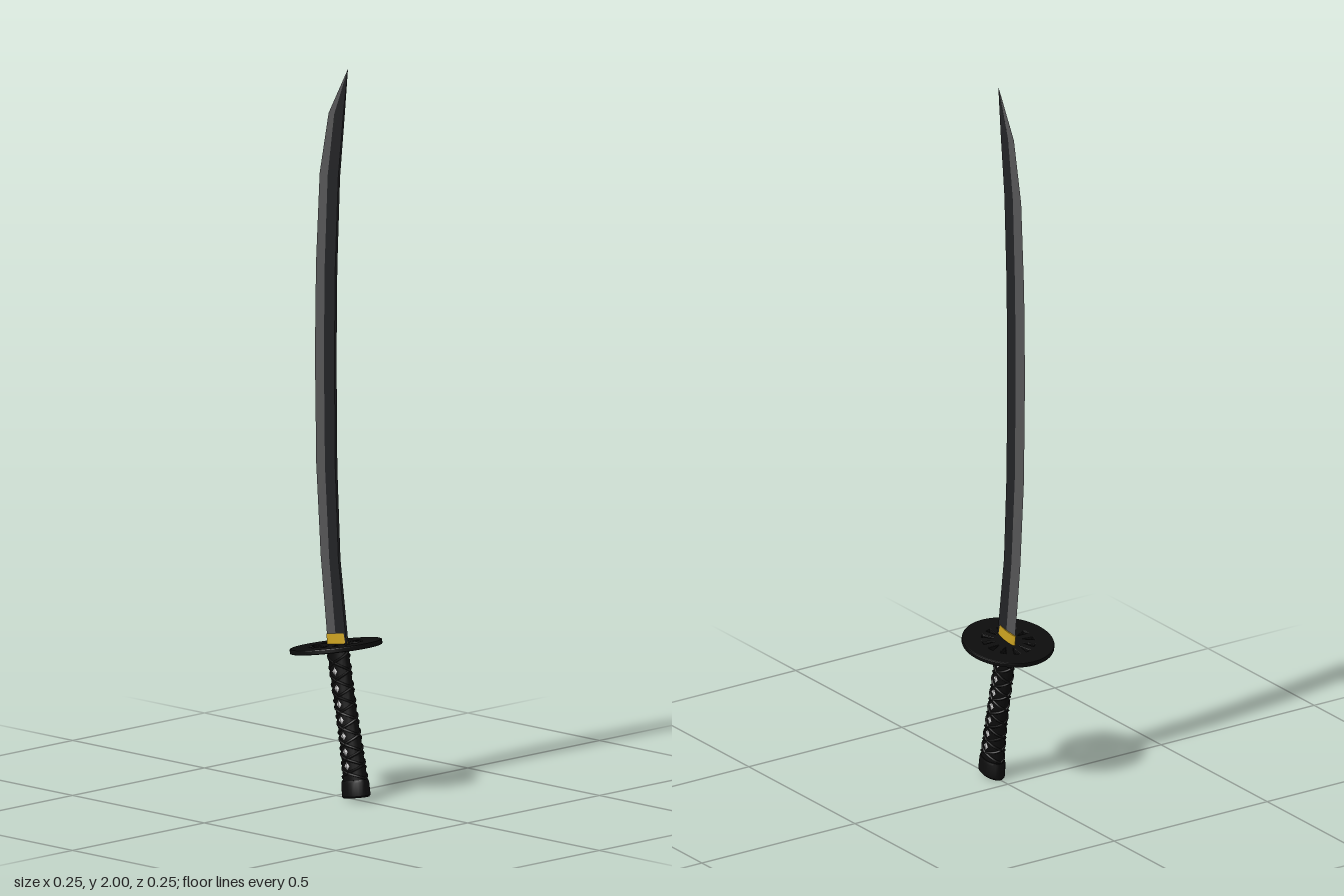
import * as THREE from 'three';
import { toCreasedNormals } from 'three/addons/utils/BufferGeometryUtils.js';

const TILT = 0.165; // lean of guard, collar and handle about z
const material = (color) => new THREE.MeshStandardMaterial({ color, roughness: 0.7 });
const black = material(0x0c0c0c);
const darkSteel = material(0x222325);
const edgeSteel = material(0x555556);
const gold = material(0xc9a020);
const grey = material(0xcccccc);

function add(parent, name, geometry, mat) {
  const mesh = new THREE.Mesh(geometry, mat);
  mesh.name = name;
  parent.add(mesh);
  return mesh;
}

// Skin a stack of rings (counter-clockwise from above, lowest first) and cap the ends
function loft(rings, crease = 0.6) {
  const n = rings[0].length;
  const index = [];
  for (let r = 0; r < rings.length - 1; r++) {
    for (let i = 0; i < n; i++) {
      const a = r * n + i, b = r * n + (i + 1) % n;
      index.push(a, b, b + n, a, b + n, a + n);
    }
  }
  const top = (rings.length - 1) * n;
  for (let i = 1; i < n - 1; i++) {
    index.push(0, i + 1, i, top, top + i, top + i + 1);
  }
  const geometry = new THREE.BufferGeometry();
  geometry.setAttribute('position', new THREE.Float32BufferAttribute(rings.flat(2), 3));
  geometry.setIndex(index);
  return toCreasedNormals(geometry, crease);
}

// Point on a tilted oval around (x, y)
function ovalPoint(x, y, halfX, halfZ, angle) {
  const u = halfX * Math.cos(angle);
  return [x + u * Math.cos(TILT), y + u * Math.sin(TILT), -halfZ * Math.sin(angle)];
}

function oval(x, y, halfX, halfZ, sides = 24) {
  return Array.from({ length: sides }, (_, i) => ovalPoint(x, y, halfX, halfZ, (i / sides) * Math.PI * 2));
}

function addBlade(group) {
  // height, cutting edge x, ridge x, spine x, half thickness
  const stations = [
    [0.41, -0.031, 0.006, 0.045, 0.004],
    [0.65, -0.058, -0.022, 0.013, 0.004],
    [0.9, -0.075, -0.038, 0.001, 0.004],
    [1.2, -0.08, -0.042, -0.002, 0.004],
    [1.45, -0.076, -0.039, 0.001, 0.004],
    [1.7, -0.062, -0.028, 0.012, 0.0035],
    [1.87, -0.028, -0.004, 0.03, 0.003],
    [2.0, 0.0445, 0.0448, 0.045, 0.0003],
  ];
  add(group, 'bladeBody', loft(stations.map(([y, , ridge, spine, t]) => [
    [spine, y, t], [spine, y, -t], [ridge, y, -t], [ridge, y, t],
  ]), 0.3), darkSteel);
  add(group, 'bladeEdge', loft(stations.map(([y, edge, ridge, , t]) => [
    [ridge, y, t], [ridge, y, -t], [edge, y, 0],
  ]), 0.3), edgeSteel);
}

function addGuard(group) {
  // Disc pierced by wedges, leaving twelve spokes
  const spokes = 12, inner = 0.036, outer = 0.075, half = 0.0085;
  const shape = new THREE.Shape().absarc(0, 0, 0.122, 0, Math.PI * 2);
  for (let i = 0; i < spokes; i++) {
    const start = (i / spokes) * Math.PI * 2, end = start + (Math.PI * 2) / spokes;
    const a = Math.asin(half / inner), b = Math.asin(half / outer);
    const hole = new THREE.Path();
    hole.moveTo(inner * Math.cos(start + a), inner * Math.sin(start + a));
    hole.absarc(0, 0, outer, start + b, end - b, false);
    hole.lineTo(inner * Math.cos(end - a), inner * Math.sin(end - a));
    hole.closePath();
    shape.holes.push(hole);
  }
  const geometry = new THREE.ExtrudeGeometry(shape, {
    depth: 0.008, bevelSize: 0.003, bevelThickness: 0.003, bevelSegments: 2, curveSegments: 48,
  });
  geometry.translate(0, 0, -0.004).rotateX(-Math.PI / 2);
  const guard = add(group, 'guard', geometry, black);
  guard.position.set(0, 0.41, 0);
  guard.rotation.z = TILT;
}

function addHandle(group) {
  // The curve carries centre x, centre y and half width
  const path = new THREE.CatmullRomCurve3([
    [0.074, 0.05, 0.039], [0.061, 0.13, 0.034], [0.043, 0.22, 0.032], [0.024, 0.31, 0.033], [0.006, 0.41, 0.035],
  ].map((p) => new THREE.Vector3(...p)));
  const halfZ = (t) => 0.026 - 0.005 * t;
  const handle = new THREE.Group();
  handle.name = 'handle';
  group.add(handle);

  const rings = [];
  for (let i = 0; i <= 12; i++) {
    const p = path.getPoint(i / 12);
    rings.push(oval(p.x, p.y, p.z, halfZ(i / 12)));
  }
  add(handle, 'grip', loft(rings), black);

  // Crossing cords wound round the grip, one crossing between each pair of studs
  const studs = 7, first = 0.14, step = 0.117;
  for (const turn of [1, -1]) {
    for (const phase of [0, Math.PI]) {
      const points = [];
      for (let i = 0; i <= 64; i++) {
        const t = 0.02 + 0.94 * (i / 64);
        const p = path.getPoint(t);
        const angle = Math.PI / 2 + phase + turn * Math.PI * ((t - first) / step + 0.5);
        points.push(new THREE.Vector3(...ovalPoint(p.x, p.y, p.z, halfZ(t), angle)));
      }
      add(handle, 'cord', new THREE.TubeGeometry(new THREE.CatmullRomCurve3(points), 110, 0.0035, 6), black);
    }
  }

  // Diamond studs on both faces
  for (let i = 0; i < studs; i++) {
    const t = first + i * step;
    const p = path.getPoint(t);
    for (const side of [1, -1]) {
      const stud = add(handle, 'stud', new THREE.OctahedronGeometry(1), grey);
      stud.scale.set(0.009, 0.011, 0.003);
      stud.position.set(p.x, p.y, side * halfZ(t));
      stud.rotation.z = TILT;
    }
  }

  // Pommel cap
  add(handle, 'pommel', loft([
    oval(0.077, 0.0075, 0.043, 0.026),
    oval(0.077, 0.012, 0.046, 0.03),
    oval(0.073, 0.048, 0.044, 0.03),
    oval(0.072, 0.055, 0.041, 0.028),
  ]), black);
}

export function createModel() {
  const group = new THREE.Group();
  group.name = 'sword';
  addBlade(group);
  addGuard(group);
  addHandle(group);
  // Collar between blade and guard
  add(group, 'collar', loft([
    oval(0.006, 0.41, 0.039, 0.009),
    oval(0.002, 0.446, 0.038, 0.007),
  ]), gold);
  return group;
}
